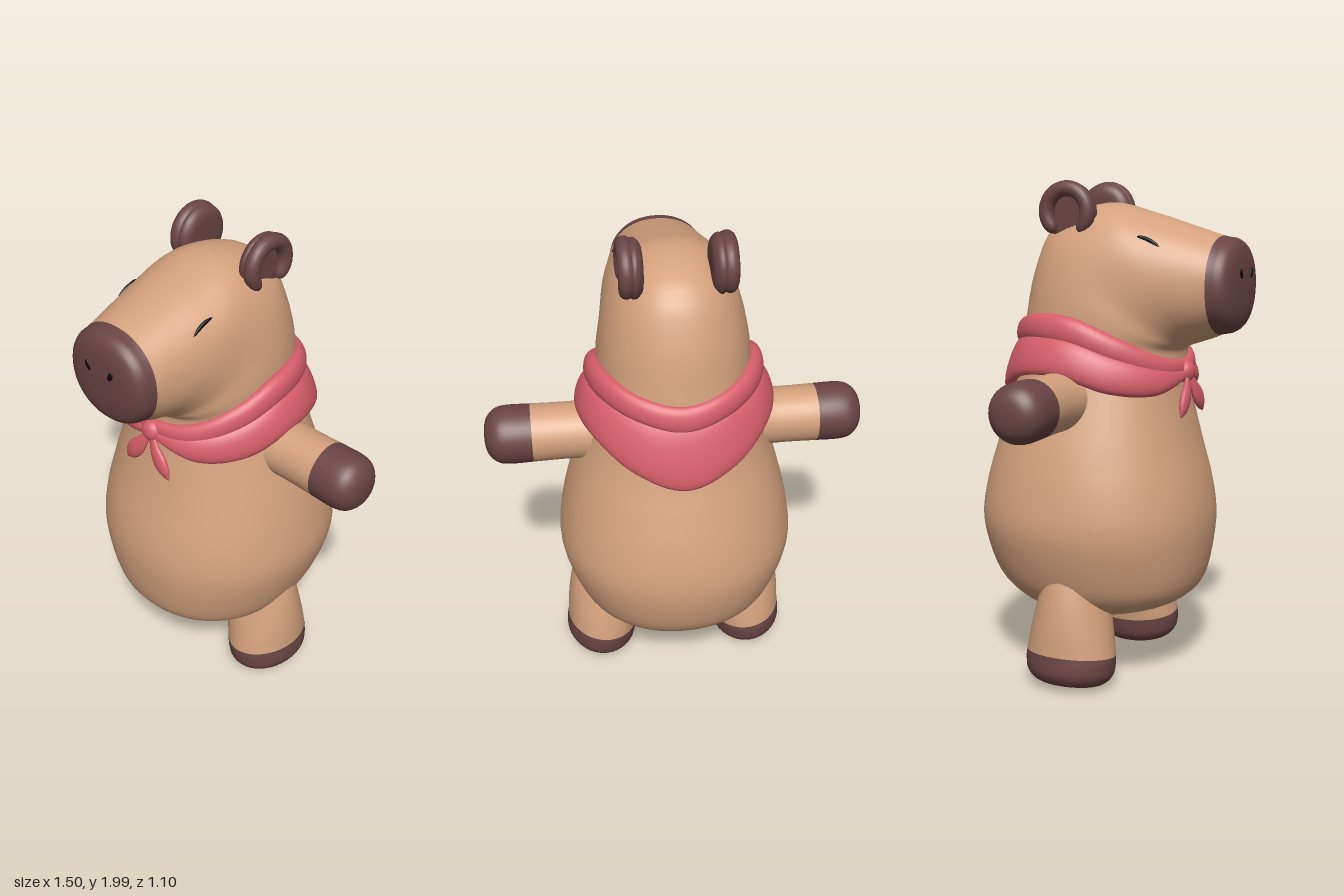
import * as THREE from 'three';

const mat = (name, color) => {
  const m = new THREE.MeshStandardMaterial({ color });
  m.name = name;
  return m;
};
const V = (x, y, z) => new THREE.Vector3(x, y, z);

// Catmull-Rom interpolation of rows of numbers, n steps between rows
function spline(rows, n) {
  const out = [];
  const at = i => rows[Math.max(0, Math.min(rows.length - 1, i))];
  for (let i = 0; i < rows.length - 1; i++) {
    const [p, a, b, q] = [at(i - 1), at(i), at(i + 1), at(i + 2)];
    for (let k = 0; k < n; k++) {
      const t = k / n;
      out.push(a.map((_, d) => a[d] + 0.5 * t * (b[d] - p[d]
        + t * (2 * p[d] - 5 * a[d] + 4 * b[d] - q[d]
        + t * (3 * (a[d] - b[d]) + q[d] - p[d])))));
    }
  }
  out.push(rows[rows.length - 1]);
  return out;
}

// Smooth skin through rings {c, u, v}: centre and two half-axes.
// Materials change at ring index `split`; `power` squares the ring off a little.
function loft(name, rings, materials, { split = 0, seg = 40, closed = false, power = 2 } = {}) {
  const pos = [], idx = [], n = rings.length;
  const curve = x => Math.sign(x) * Math.abs(x) ** (2 / power);
  for (const { c, u, v } of rings)
    for (let j = 0; j < seg; j++) {
      const a = (j / seg) * Math.PI * 2;
      const p = c.clone().addScaledVector(u, curve(Math.cos(a))).addScaledVector(v, curve(Math.sin(a)));
      pos.push(p.x, p.y, p.z);
    }
  const m = n >> 1;
  const along = rings[m + 1].c.clone().sub(rings[m - 1].c);
  const outward = rings[m].u.clone().cross(rings[m].v).dot(along) > 0;
  const spans = closed ? n : n - 1;
  for (let i = 0; i < spans; i++)
    for (let j = 0; j < seg; j++) {
      const k = (j + 1) % seg, i2 = (i + 1) % n;
      const a = i * seg + j, b = i * seg + k, c = i2 * seg + k, d = i2 * seg + j;
      if (outward) idx.push(a, b, d, b, c, d);
      else idx.push(a, d, b, b, d, c);
    }
  const g = new THREE.BufferGeometry();
  g.setAttribute('position', new THREE.Float32BufferAttribute(pos, 3));
  g.setIndex(idx);
  g.computeVertexNormals();
  if (split) {
    g.addGroup(0, split * seg * 6, 0);
    g.addGroup(split * seg * 6, (spans - split) * seg * 6, 1);
  }
  const mesh = new THREE.Mesh(g, materials);
  mesh.name = name;
  return mesh;
}

export function createModel() {
  const skin = mat('tan fur', 0xd4a17c);
  const dark = mat('dark brown', 0x6a4445);
  const red = mat('scarf red', 0xd65e69);
  const black = mat('black', 0x0b0909);
  const model = new THREE.Group();

  // Body, neck and head in one skin: front z, front y, back z, back y, half width
  const bodyRows = [
    [-0.09, 0.24, -0.09, 0.24, 0], [0.06, 0.255, -0.22, 0.252, 0.14],
    [0.2, 0.285, -0.34, 0.285, 0.26], [0.31, 0.335, -0.44, 0.36, 0.36],
    [0.37, 0.42, -0.51, 0.46, 0.42], [0.4, 0.62, -0.55, 0.64, 0.475],
    [0.385, 0.78, -0.53, 0.8, 0.462], [0.342, 0.95, -0.48, 0.97, 0.422],
    [0.312, 1.08, -0.435, 1.11, 0.38], [0.29, 1.2, -0.405, 1.25, 0.34],
    [0.285, 1.3, -0.385, 1.38, 0.308], [0.287, 1.343, -0.37, 1.47, 0.3],
    [0.308, 1.356, -0.33, 1.66, 0.294], [0.33, 1.365, -0.24, 1.84, 0.274],
    [0.36, 1.375, -0.03, 1.915, 0.254], [0.39, 1.385, 0.15, 1.88, 0.236],
    [0.42, 1.395, 0.32, 1.83, 0.217], [0.455, 1.41, 0.455, 1.79, 0.2],
    [0.5, 1.42, 0.5, 1.782, 0.19], [0.53, 1.448, 0.53, 1.755, 0.162],
    [0.546, 1.51, 0.546, 1.69, 0.095], [0.55, 1.6, 0.55, 1.6, 0],
  ];
  const body = loft('bodyAndHead', spline(bodyRows, 4).map(([fz, fy, bz, by, w]) => ({
    c: V(0, (fy + by) / 2, (fz + bz) / 2), u: V(w, 0, 0), v: V(0, (by - fy) / 2, (bz - fz) / 2),
  })), [skin, dark], { split: 17 * 4, seg: 64, power: 2.15 });
  model.add(body);

  // Finds the point on the body hit by a ray
  const hit = (from, dir) => new THREE.Raycaster(from, dir).intersectObject(body)[0].point;

  // Legs: height, half width, half depth
  const legRows = [
    [0, 0, 0], [0.003, 0.07, 0.09], [0.015, 0.115, 0.145], [0.05, 0.145, 0.178],
    [0.09, 0.151, 0.186], [0.13, 0.151, 0.185], [0.24, 0.158, 0.165],
    [0.38, 0.153, 0.132], [0.52, 0.12, 0.1], [0.54, 0, 0],
  ];
  // Arms: distance out, radius
  const armRows = [
    [0.75, 0], [0.747, 0.04], [0.735, 0.075], [0.705, 0.105], [0.66, 0.116],
    [0.565, 0.115], [0.46, 0.113], [0.38, 0.114], [0.28, 0.12], [0.2, 0.1],
  ];
  // Ear plates: distance out, radius
  const earRows = [
    [0.124, 0], [0.124, 0.06], [0.13, 0.092], [0.15, 0.112], [0.17, 0.108], [0.178, 0.08], [0.178, 0],
  ];

  for (const s of [1, -1]) {
    const side = s > 0 ? 'left' : 'right';

    const leg = loft(side + 'Leg', spline(legRows, 4).map(([y, rx, rz]) => ({
      c: V(0, y, 0), u: V(rx, 0, 0), v: V(0, 0, -rz),
    })), [dark, skin], { split: 5 * 4 });
    leg.position.set(s * 0.333, 0.014, -0.052);
    leg.rotation.z = s * 0.13;
    model.add(leg);

    model.add(loft(side + 'Arm', spline(armRows, 4).map(([x, r]) => ({
      c: V(s * x, 1.16, -0.078), u: V(0, r, 0), v: V(0, 0, r),
    })), [dark, skin], { split: 5 * 4 }));

    // Ear: a plate with a curled rim, open at the bottom
    const ear = new THREE.Group();
    ear.name = side + 'Ear';
    ear.position.set(0, 1.88, -0.127);
    ear.add(loft('earPlate', spline(earRows, 3).map(([x, r]) => ({
      c: V(s * x, 0, 0), u: V(0, r, 0), v: V(0, 0, r),
    })), dark));
    const rim = [];
    for (let i = 0; i <= 48; i++) {
      const k = i / 24 - 1, a = k * 2.6, r = 0.031 * Math.sqrt(1 - Math.abs(k) ** 10);
      const out = V(0, Math.cos(a), Math.sin(a));
      rim.push({ c: out.clone().multiplyScalar(0.089).setX(s * 0.188), u: V(r, 0, 0), v: out.multiplyScalar(r) });
    }
    ear.add(loft('earRim', rim, dark, { seg: 20 }));
    model.add(ear);

    // Closed eye: a slim tapered stroke lying on the cheek
    const eye = [];
    for (let i = 0; i <= 12; i++) {
      const t = i / 12, r = Math.sqrt(Math.max(0, 1 - (2 * t - 1) ** 2));
      const p = V(s, 1.75 + 0.038 * t + 0.006 * Math.sin(t * Math.PI), 0.27 - 0.095 * t);
      eye.push({ c: hit(p, V(-s, 0, 0)), u: V(0.007 * r, 0, 0), v: V(0, 0.009 * r, 0.002 * r) });
    }
    model.add(loft(side + 'Eye', eye, black, { seg: 12 }));

    // Nostril
    const nostril = new THREE.Mesh(new THREE.SphereGeometry(1, 16, 12), black);
    nostril.name = side + 'Nostril';
    nostril.scale.set(0.011, 0.021, 0.006);
    nostril.position.copy(hit(V(s * 0.058, 1.648, 2), V(0, 0, -1)));
    nostril.rotation.z = -s * 0.45;
    model.add(nostril);

    // Scarf tail: a leaf hanging from the knot
    const tail = spline([[0.005, 1.255, 0.31, 0.012], [0.03, 1.205, 0.322, 0.024],
      [0.065, 1.155, 0.328, 0.036], [0.095, 1.115, 0.33, 0.026], [0.117, 1.085, 0.33, 0]], 5);
    model.add(loft(side + 'ScarfTail', tail.map(([x, y, z, w]) => ({
      c: V(s * x, y, z), u: V(0.8 * s * w, 0.6 * w, 0), v: V(0, 0, w * 0.5),
    })), red, { seg: 20 }));
  }

  // Scarf bands; rows every 30 degrees from front to back: top y, bottom y, half thickness.
  // Each edge is an oval: half width, front z, back z.
  const band = (name, rows, top, bottom) => {
    const all = [...rows, ...rows.slice(0, -1).reverse()];
    const edge = ([x, f, b], a, y) => V(x * Math.sin(a), y, (f + b) / 2 + (f - b) / 2 * Math.cos(a));
    const keys = spline(all, 8).slice(0, -1);
    return loft(name, keys.map(([ty, by, t], i) => {
      const a = (i / keys.length) * Math.PI * 2;
      const T = edge(top, a, ty), B = edge(bottom, a, by);
      return { c: T.clone().add(B).multiplyScalar(0.5), u: V(Math.sin(a) * t, 0, Math.cos(a) * t), v: B.sub(T).multiplyScalar(0.5) };
    }), red, { seg: 24, closed: true, power: 2.2 });
  };
  model.add(band('scarfUpperFold', [
    [1.305, 1.245, 0.025], [1.335, 1.25, 0.032], [1.41, 1.305, 0.035], [1.48, 1.37, 0.035],
    [1.49, 1.385, 0.035], [1.46, 1.36, 0.032], [1.435, 1.33, 0.03],
  ], [0.308, 0.285, -0.375], [0.318, 0.29, -0.39]));
  model.add(band('scarfLowerDrape', [
    [1.275, 1.235, 0.025], [1.295, 1.18, 0.038], [1.34, 1.195, 0.04], [1.4, 1.255, 0.038],
    [1.41, 1.245, 0.036], [1.39, 1.165, 0.034], [1.37, 1.105, 0.032],
  ], [0.322, 0.285, -0.38], [0.368, 0.3, -0.452]));

  // Knot
  const knot = new THREE.Mesh(new THREE.SphereGeometry(0.045, 24, 16), red);
  knot.name = 'scarfKnot';
  knot.scale.z = 0.8;
  knot.position.set(0, 1.258, 0.302);
  model.add(knot);

  return model;
}
